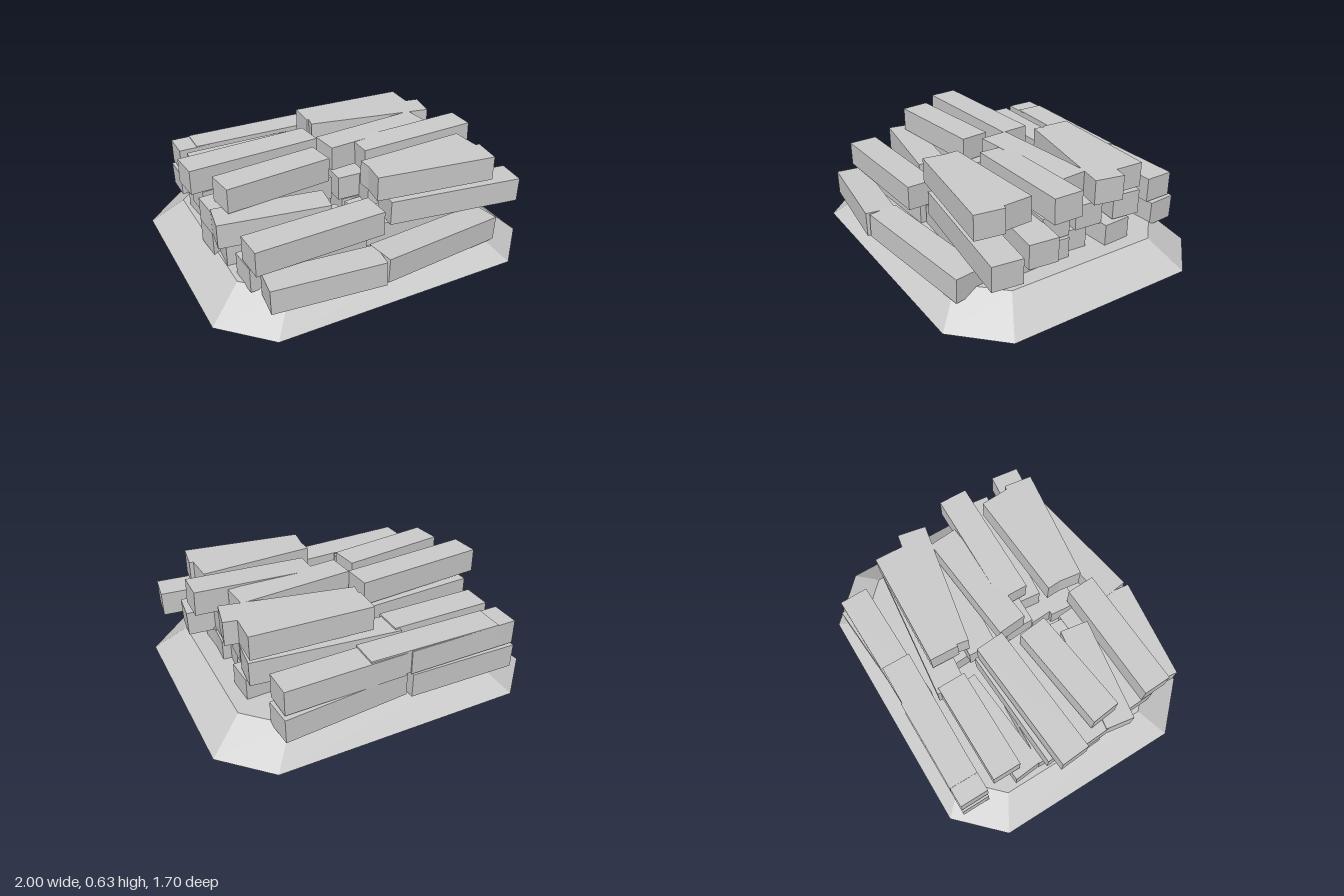
import * as THREE from 'three';

// Each bar: [x centre, y centre, z centre, length, yaw in degrees (front-ward with +x), tilt in degrees]
const LAYERS = {
  bottomBar: [
    [-0.42, 0.215, 0.73, 0.64, 7, 1], [0.29, 0.205, 0.70, 0.8, -8, -2.5],
    [-0.42, 0.22, 0.47, 0.72, -3, 0], [0.32, 0.215, 0.45, 0.72, 5, 0],
    [-0.44, 0.215, 0.26, 0.72, 5, 0], [0.35, 0.215, 0.27, 0.72, -3, 0],
    [-0.47, 0.22, 0.06, 0.73, -3, 0], [0.35, 0.21, 0.10, 0.72, 3, 0],
    [-0.42, 0.22, -0.13, 0.72, 3, 0], [0.31, 0.215, -0.06, 0.72, 5, 0],
    [-0.45, 0.22, -0.34, 0.66, -5, 0], [0.37, 0.215, -0.28, 0.72, -3, 0],
    [-0.44, 0.215, -0.67, 0.68, 0, 1], [0.30, 0.22, -0.67, 0.75, -4, -1],
  ],
  middleBar: [
    [-0.39, 0.375, 0.56, 0.77, -2, 0], [0.51, 0.36, 0.52, 0.83, 7, -1],
    [-0.53, 0.38, 0.31, 0.64, 9, 0], [0.47, 0.35, 0.26, 0.76, 6, -1],
    [-0.46, 0.37, 0.08, 0.76, -3, 0], [0.33, 0.365, 0.10, 0.74, 2, 0],
    [-0.44, 0.37, -0.14, 0.74, -3, 0], [0.32, 0.36, -0.15, 0.73, 4, 0],
    [-0.43, 0.38, -0.435, 0.62, 0, 0], [0.28, 0.37, -0.41, 0.88, 6, 0],
    [-0.25, 0.38, -0.66, 0.81, 1, 0], [0.30, 0.37, -0.665, 0.72, -1, 0],
    [-0.43, 0.375, -0.665, 0.68, 0, 0],
  ],
  topBar: [
    [-0.45, 0.53, 0.15, 0.65, -6.5, -0.5], [-0.48, 0.535, -0.115, 0.81, -4, -0.5],
    [0.37, 0.535, 0.39, 0.69, -3, 0], [0.375, 0.535, 0.50, 0.72, 8, 0],
    [0.475, 0.545, 0.14, 0.73, 1, 2], [0.29, 0.535, -0.01, 0.70, -5, 0],
    [0.355, 0.535, -0.385, 0.72, 2.5, 0], [0.39, 0.535, -0.255, 0.78, 11, 0],
  ],
};

// Cut-corner outline, scaled toward the centre
function outline(scale, y) {
  const pts = [[1, 0.58], [0.74, 0.84], [-0.74, 0.84], [-1, 0.58], [-1, -0.58], [-0.74, -0.84], [0.74, -0.84], [1, -0.58]];
  return pts.map(([x, z]) => [x * scale, y, z * scale]);
}

// Sloped eight-sided base with flat top and bottom
function baseGeometry() {
  const low = outline(1, 0), high = outline(0.81, 0.16);
  const pos = [];
  const tri = (a, b, c) => pos.push(...a, ...b, ...c);
  for (let i = 0; i < 8; i++) {
    const j = (i + 1) % 8;
    tri(low[i], high[i], low[j]);
    tri(low[j], high[i], high[j]);
    tri([0, 0.16, 0], high[j], high[i]);
    tri([0, 0, 0], low[i], low[j]);
  }
  const geo = new THREE.BufferGeometry();
  geo.setAttribute('position', new THREE.Float32BufferAttribute(pos, 3));
  geo.computeVertexNormals();
  return geo;
}

export function createModel() {
  const grey = new THREE.MeshStandardMaterial({ color: 0xcccccc });
  grey.name = 'pale grey';
  const model = new THREE.Group();
  model.name = 'stackedBars';

  const base = new THREE.Mesh(baseGeometry(), grey);
  base.name = 'base';
  model.add(base);

  // Three loose layers of bars
  const rad = THREE.MathUtils.degToRad;
  for (const [name, bars] of Object.entries(LAYERS)) {
    const layer = new THREE.Group();
    layer.name = name + 'Layer';
    for (const [x, y, z, length, yaw, tilt] of bars) {
      const bar = new THREE.Mesh(new THREE.BoxGeometry(length, 0.147, 0.175), grey);
      bar.name = name;
      bar.position.set(x, y, z);
      bar.rotation.set(0, -rad(yaw), rad(tilt));
      layer.add(bar);
    }
    model.add(layer);
  }
  return model;
}
